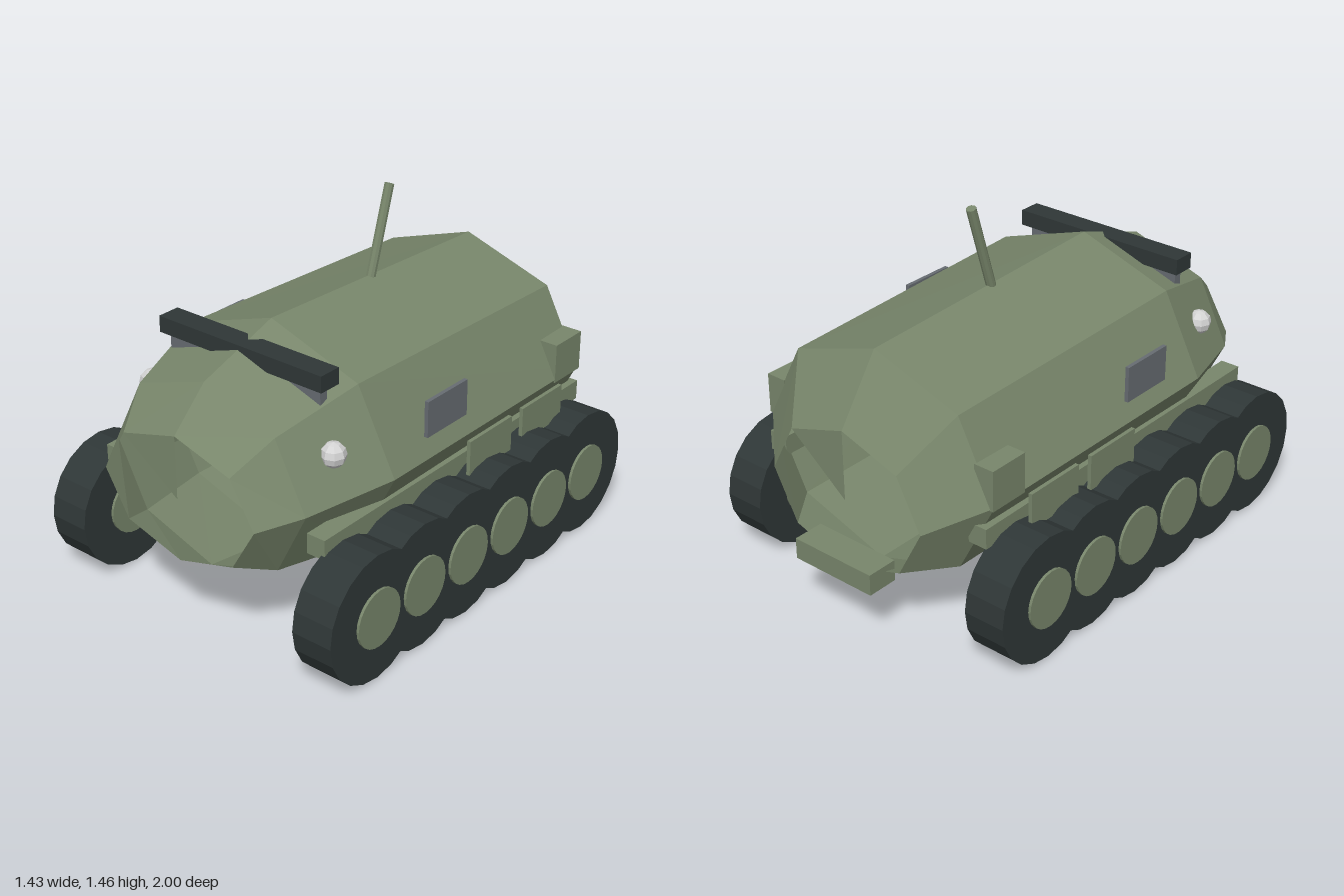
import * as THREE from 'three';

export function createModel() {
  const root = new THREE.Group();
  const mat = (name, color) => new THREE.MeshStandardMaterial({ name, color, flatShading: true });
  const green = mat('olive green', 0x78866b);
  green.side = THREE.DoubleSide;
  const dark = mat('dark rubber', 0x2f3737);
  const grey = mat('slate grey', 0x676c72);
  const lamp = mat('lamp white', 0xd4d4d4);

  function add(name, geometry, material, x = 0, y = 0, z = 0) {
    const mesh = new THREE.Mesh(geometry, material);
    mesh.name = name;
    mesh.position.set(x, y, z);
    root.add(mesh);
    return mesh;
  }
  // Box given by its limits on each axis
  const box = (name, material, [x0, x1], [y0, y1], [z0, z1]) =>
    add(name, new THREE.BoxGeometry(x1 - x0, y1 - y0, z1 - z0), material,
      (x0 + x1) / 2, (y0 + y1) / 2, (z0 + z1) / 2);

  // Hull: eight-sided elliptical rings, open at both ends [z, centre y, rx, ry]
  const stations = [
    [1.0, 0.605, 0.37, 0.257],
    [0.84, 0.632, 0.47, 0.383],
    [0.48, 0.665, 0.58, 0.47],
    [-0.74, 0.645, 0.56, 0.445],
    [-0.92, 0.54, 0.37, 0.29],
  ];
  const ringPoint = ([z, cy, rx, ry], i) => {
    const a = i * Math.PI / 4;
    return [rx * Math.sin(a), cy + ry * Math.cos(a), z];
  };
  const hull = [];
  for (let s = 0; s < stations.length - 1; s++) {
    for (let i = 0; i < 8; i++) {
      const a = ringPoint(stations[s], i), b = ringPoint(stations[s], i + 1);
      const c = ringPoint(stations[s + 1], i + 1), d = ringPoint(stations[s + 1], i);
      hull.push(...a, ...c, ...b, ...a, ...d, ...c);
    }
  }
  // One triangular flap closes part of each end
  const front = stations[0], rear = stations[4];
  hull.push(0, front[1], front[0], ...ringPoint(front, 0), ...ringPoint(front, 7));
  hull.push(0, rear[1], rear[0], ...ringPoint(rear, 0), ...ringPoint(rear, 1));
  const hullGeometry = new THREE.BufferGeometry();
  hullGeometry.setAttribute('position', new THREE.Float32BufferAttribute(hull, 3));
  hullGeometry.computeVertexNormals();
  add('hull', hullGeometry, green);

  // Wheels and side fittings, mirrored
  const tyre = new THREE.CylinderGeometry(0.26, 0.26, 0.175, 20).rotateZ(Math.PI / 2);
  const hub = new THREE.CylinderGeometry(0.118, 0.118, 0.197, 24).rotateZ(Math.PI / 2);
  for (const s of [1, -1]) {
    const side = s > 0 ? 'left' : 'right';
    const span = (a, b) => (s > 0 ? [a, b] : [-b, -a]);
    for (let i = 0; i < 6; i++) {
      const z = 0.73 - i * 0.268;
      add(side + 'Tyre' + (i + 1), tyre, dark, s * 0.618, 0.262, z);
      add(side + 'Hub' + (i + 1), hub, green, s * 0.618, 0.262, z);
    }
    box(side + 'SideRail', green, span(0.465, 0.547), [0.483, 0.565], [-0.77, 0.83]);
    box(side + 'FrontSkirt', green, span(0.58, 0.596), [0.49, 0.638], [-0.23, 0.04]);
    box(side + 'RearSkirt', green, span(0.58, 0.596), [0.49, 0.638], [-0.575, -0.305]);
    box(side + 'StowageBox', green, span(0.475, 0.563), [0.635, 0.8], [-0.75, -0.575]);
    box(side + 'SidePanel', grey, span(0.55, 0.566), [0.743, 0.89], [0.03, 0.27]);
    box(side + 'PanelBracket', grey, span(0.06, 0.555), [0.75, 0.8], [0.1, 0.2]);
    add(side + 'Headlight', new THREE.SphereGeometry(0.05, 8, 6), lamp, s * 0.45, 0.805, 0.665);
  }

  // Roof bar on its support, and the rear bumper
  box('roofBarSupport', grey, [-0.367, 0.367], [0.955, 1.03], [0.6, 0.637]);
  box('roofBar', dark, [-0.395, 0.395], [1.027, 1.093], [0.568, 0.664]);
  box('rearBumper', green, [-0.19, 0.19], [0.248, 0.335], [-1.0, -0.87]);

  // Mast leaning backwards
  const foot = new THREE.Vector3(0, 1.1, -0.095), tip = new THREE.Vector3(0, 1.457, -0.208);
  const dir = tip.clone().sub(foot);
  const mast = add('mast', new THREE.CylinderGeometry(0.02, 0.02, dir.length(), 10), green);
  mast.position.copy(foot).add(tip).multiplyScalar(0.5);
  mast.quaternion.setFromUnitVectors(new THREE.Vector3(0, 1, 0), dir.normalize());

  return root;
}
